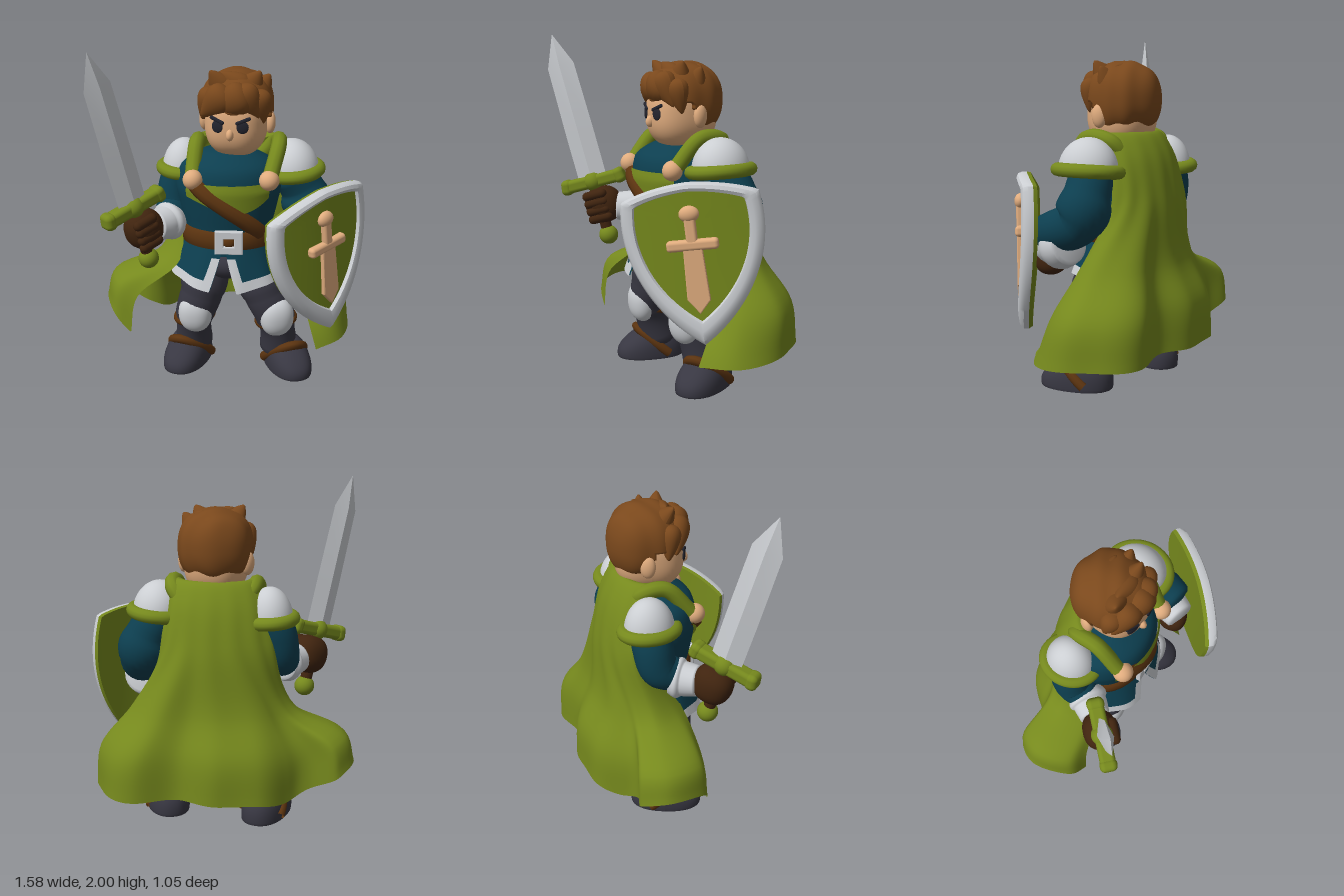
import * as THREE from 'three';
import { mergeVertices, toCreasedNormals } from 'three/addons/utils/BufferGeometryUtils.js';
import { RoundedBoxGeometry } from 'three/addons/geometries/RoundedBoxGeometry.js';

const V = (x, y, z) => new THREE.Vector3(x, y, z);
const colours = { green: 0x76891d, teal: 0x0d3f50, silver: 0xcbced2, hairBrown: 0x7a481c, leather: 0x5c3410,
  darkLeather: 0x40240f, slate: 0x383742, skin: 0xe0ac7e, ink: 0x23242e };
const M = {};
for (const k in colours) {
  M[k] = new THREE.MeshStandardMaterial({ color: colours[k], side: THREE.DoubleSide });
  M[k].name = k;
}

function add(parent, name, geo, mat, pos = [0, 0, 0], rot = [0, 0, 0], scale = [1, 1, 1]) {
  const m = new THREE.Mesh(geo, mat);
  m.name = name;
  m.position.set(...pos); m.rotation.set(...rot); m.scale.set(...scale);
  parent.add(m);
}
function group(parent, name, pos = [0, 0, 0], rot = [0, 0, 0]) {
  const g = new THREE.Group();
  g.name = name; g.position.set(...pos); g.rotation.set(...rot);
  parent.add(g);
  return g;
}
const ball = (r = 1, w = 28, h = 20) => new THREE.SphereGeometry(r, w, h);
const tube = (pts, r, n = 40) => new THREE.TubeGeometry(new THREE.CatmullRomCurve3(pts.map(p => V(...p))), n, r, 10);
const flat = pts => pts.map(p => new THREE.Vector2(...p));

// Smooth surface from a rule f(u, v) -> Vector3
function grid(nu, nv, f) {
  const pos = [], idx = [];
  for (let j = 0; j <= nv; j++) for (let i = 0; i <= nu; i++) pos.push(...f(i / nu, j / nv).toArray());
  for (let j = 0; j < nv; j++) for (let i = 0; i < nu; i++) {
    const a = j * (nu + 1) + i, c = a + nu + 1;
    idx.push(a, a + 1, c, a + 1, c + 1, c);
  }
  const g = new THREE.BufferGeometry();
  g.setAttribute('position', new THREE.Float32BufferAttribute(pos, 3));
  g.setIndex(idx);
  const merged = mergeVertices(g, 1e-4);
  merged.computeVertexNormals();
  return merged;
}
// Round-ended limb through [x, y, z, radius] points
function limb(pts) {
  const path = new THREE.CatmullRomCurve3(pts.map(p => V(p[0], p[1], p[2])));
  const radii = new THREE.CatmullRomCurve3(pts.map(p => V(p[3], 0, 0)));
  return grid(24, 30, (u, v) => {
    const e = Math.max(0, (Math.abs(2 * v - 1) - 0.86) / 0.14);
    const r = radii.getPoint(v).x * Math.sqrt(Math.max(0, 1 - e * e));
    const t = path.getTangent(v), s = V(1, 0, 0).addScaledVector(t, -t.x).normalize();
    const b = t.clone().cross(s), a = u * Math.PI * 2;
    return path.getPoint(v).addScaledVector(s, r * Math.cos(a)).addScaledVector(b, r * Math.sin(a));
  });
}
// Rounded block: a sphere pushed out by a power norm, then changed by a rule
function block(rx, ry, rz, p, rule = v => v, n = 64) {
  const g = ball(1, n, n * 0.75), a = g.attributes.position, v = V(0, 0, 0);
  for (let i = 0; i < a.count; i++) {
    v.fromBufferAttribute(a, i);
    v.divideScalar((Math.abs(v.x) ** p + Math.abs(v.y) ** p + Math.abs(v.z) ** p) ** (1 / p));
    v.multiply(V(rx, ry, rz));
    rule(v);
    a.setXYZ(i, v.x, v.y, v.z);
  }
  g.computeVertexNormals();
  return g;
}

function buildHead(root) {
  const head = group(root, 'head', [0.033, 1.555, -0.05], [0, -0.28, 0]);
  const P = 2.5, faceZ = (x, y) => 0.2 * (1 - Math.abs(x / 0.178) ** P - Math.abs(y / 0.205) ** P) ** (1 / P);
  add(head, 'face', block(0.178, 0.205, 0.2, P), M.skin);
  add(head, 'nose', ball(), M.skin, [0, -0.045, 0.195], [-0.3, 0, 0], [0.022, 0.034, 0.03]);
  for (const s of [-1, 1]) {
    add(head, 'ear', ball(), M.skin, [s * 0.19, -0.01, -0.025], [0, s * 0.4, 0], [0.032, 0.068, 0.045]);
    add(head, 'eye', ball(), M.ink, [s * 0.072, 0.0, faceZ(0.072, 0)], [0, s * 0.25, 0], [0.034, 0.036, 0.009]);
    add(head, 'eyebrow', new RoundedBoxGeometry(0.09, 0.02, 0.02, 2, 0.008), M.ink,
      [s * 0.074, 0.036, faceZ(0.074, 0.036)], [0, s * 0.25, s * 0.36]);
  }
  // Hair cap, pulled inside the head below the hairline
  add(head, 'hair', block(0.205, 0.215, 0.212, 2.3, v => {
    if (v.z > 0.0 && v.y < (v.z > 0.05 ? -0.015 : -0.05)) { v.x *= 0.76; v.z *= 0.7; }
    else v.multiplyScalar(1 + 0.025 * Math.sin(v.x * 34 + v.z * 20) * Math.sin(v.z * 26));
  }, 96), M.hairBrown, [0, 0.078, -0.02]);
  // Pointed locks: fringe swept sideways, crown tufts pointing up
  const lock = block(1, 1, 1, 2, v => { const k = 0.72 - 0.4 * v.y; v.x *= k; v.z *= k * 0.8; }, 24);
  const locks = [ // x, y, z, lean forward, tilt, size
    [-0.14, 0.105, 0.1, 0.1, 2.7, 0.1], [-0.09, 0.12, 0.145, 0.15, 2.3, 0.115], [0.0, 0.13, 0.15, 0.15, 2.1, 0.12],
    [0.09, 0.13, 0.135, 0.15, 3.7, 0.11], [0.145, 0.1, 0.09, 0.1, 3.4, 0.1], [-0.08, 0.22, 0.08, 0.5, 0.5, 0.1],
    [0.0, 0.225, 0.07, 0.3, 0.9, 0.1], [0.09, 0.21, 0.05, 0.2, -0.6, 0.105], [0.13, 0.18, -0.03, 0, -0.6, 0.1],
    [0.02, 0.22, -0.06, -0.2, -1.1, 0.1]];
  for (const [x, y, z, lean, tilt, s] of locks)
    add(head, 'hairLock', lock, M.hairBrown, [x, y, z], [lean, 0, tilt], [s, s, s]);
}

function buildBody(root) {
  const body = group(root, 'body', [-0.015, 0, -0.05], [0, -0.2, 0]);
  const prof = [[0.25, 0.78], [0.255, 0.9], [0.29, 1.06], [0.31, 1.18], [0.28, 1.3], [0.17, 1.37], [0.1, 1.39]];
  const D = 0.8;
  add(body, 'tunic', new THREE.LatheGeometry(new THREE.SplineCurve(flat(prof)).getPoints(30), 48), M.teal, [0, 0, 0], [0, 0, 0], [1, 1, D]);
  const onBody = (phi, y, off) => {
    let i = 0;
    while (i < prof.length - 2 && prof[i + 1][1] < y) i++;
    const k = (y - prof[i][1]) / (prof[i + 1][1] - prof[i][1]);
    const r = THREE.MathUtils.lerp(prof[i][0], prof[i + 1][0], k) + off;
    return V(r * Math.sin(phi), y, r * D * Math.cos(phi));
  };
  add(body, 'chestBand', grid(24, 8, (u, v) => {
    const dip = Math.sin(u ** 1.4 * Math.PI);
    return onBody(-0.75 + 1.65 * u, 1.14 - 0.08 * dip + v * (0.09 + 0.08 * dip), 0.018);
  }), M.green);
  const strap = [];
  for (let i = 0; i <= 8; i++) strap.push(onBody(-0.7 + i * 0.2, 1.24 - i * 0.04, -0.01).toArray());
  add(body, 'chestStrap', tube(strap, 0.05), M.leather);
  add(body, 'collar', ball(), M.teal, [0.02, 1.28, -0.01], [0, 0, 0], [0.2, 0.125, 0.18]);
  // Belt and buckle
  const belt = flat([[0.25, 0.82], [0.275, 0.83], [0.282, 0.88], [0.278, 0.93], [0.25, 0.94]]);
  add(body, 'belt', new THREE.LatheGeometry(belt, 48), M.leather, [0, 0, 0], [0, 0, 0], [1, 1, D]);
  const frame = new THREE.Shape(flat([[-0.075, -0.065], [0.075, -0.065], [0.075, 0.065], [-0.075, 0.065]]));
  frame.holes.push(new THREE.Path(flat([[-0.036, -0.03], [-0.036, 0.03], [0.036, 0.03], [0.036, -0.03]])));
  const buckle = group(body, 'buckle', [0.03, 0.882, 0.215], [0, 0.08, 0]);
  add(buckle, 'buckleFrame', new THREE.ExtrudeGeometry(frame, { depth: 0.02, bevelSize: 0.006, bevelThickness: 0.006, bevelSegments: 2 }), M.silver);
  add(buckle, 'buckleStud', ball(), M.leather, [0, 0, 0.01], [0, 0, 0], [0.034, 0.03, 0.015]);
  // Split skirt with a pale hem
  const skirt = (u, v, off) => {
    const gap = 0.02 + 0.22 * v, phi = gap + u * (Math.PI * 2 - 2 * gap);
    const r = 0.255 + 0.08 * v + off + 0.006 * Math.sin(phi * 9) * v;
    return V(r * Math.sin(phi), 0.85 - v * (0.22 + 0.05 * Math.max(0, Math.cos(phi)) ** 4), r * 0.84 * Math.cos(phi));
  };
  add(body, 'skirt', grid(64, 10, (u, v) => skirt(u, v, 0)), M.teal);
  add(body, 'skirtHem', grid(64, 3, (u, v) => skirt(u, 0.78 + 0.23 * v, 0.01)), M.silver);
  for (const a of [0, 0.972])
    add(body, 'skirtEdge', grid(4, 10, (u, v) => skirt(a + 0.028 * u, 0.25 + 0.75 * v, 0.012)), M.silver);
  add(body, 'hips', ball(), M.slate, [0, 0.7, 0], [0, 0, 0], [0.24, 0.12, 0.19]);
}

function buildLeg(root, name, pts, foot, yaw) {
  const leg = group(root, name);
  add(leg, 'trouserLeg', limb(pts), M.slate);
  const [x, y, z] = pts[2];
  add(leg, 'kneePad', block(0.102, 0.125, 0.08, 2.2), M.silver, [x, y + 0.035, z + 0.07], [0.1, yaw * 0.5, 0]);
  add(leg, 'ankleStrap', new THREE.TorusGeometry(0.107, 0.026, 10, 32), M.leather, [x + (pts[3][0] - x) * 0.15, 0.32, z - 0.02], [Math.PI / 2, 0.15, 0]);
  const boot = group(leg, 'boot', foot, [0, yaw, 0]);
  add(boot, 'shoe', block(0.13, 0.17, 0.215, 2.3, v => {
    const t = THREE.MathUtils.clamp(v.z / 0.215, 0, 1);
    v.y = Math.max(0, v.y + 0.035) * (1 - 0.4 * t);
  }, 40), M.slate);
  add(boot, 'instepStrap', new THREE.TorusGeometry(0.115, 0.022, 10, 32, Math.PI), M.leather, [0, 0.035, -0.085], [0.88, 0, 0], [1.1, 1.9, 1.3]);
}

function buildPauldron(root, name, pos, r, roll, stretch) {
  const g = group(root, name, pos, [0, 0, roll]);
  add(g, 'shoulderPlate', new THREE.SphereGeometry(1, 32, 14, 0, Math.PI * 2, 0, Math.PI / 2), M.silver, [0, 0, 0], [0, 0, 0], [r, 0.185, r * stretch]);
  add(g, 'shoulderTrim', new THREE.TorusGeometry(r, 0.038, 12, 40), M.green, [0, 0, 0], [Math.PI / 2, 0, 0], [1, stretch, 1]);
}

function buildSword(root) {
  const g = group(root, 'sword', [-0.57, 1.1, 0.14]);
  const Y = V(-0.2, 0.9, 0.15).normalize(), X = V(0.34, 0.06, -0.25);
  X.addScaledVector(Y, -X.dot(Y)).normalize();
  g.quaternion.setFromRotationMatrix(new THREE.Matrix4().makeBasis(X, Y, X.clone().cross(Y)));
  const blade = flat([[0.092, 0], [0.092, 0.3], [0.086, 0.74], [0.001, 0.935]]);
  add(g, 'blade', toCreasedNormals(new THREE.LatheGeometry(blade, 4).scale(1, 1, 0.33), 0.4), M.silver);
  add(g, 'crossguard', new RoundedBoxGeometry(0.38, 0.08, 0.09, 4, 0.025), M.green);
  for (const s of [-1, 1]) add(g, 'guardEnd', new RoundedBoxGeometry(0.07, 0.095, 0.1, 4, 0.03), M.green, [s * 0.175, 0, 0], [0, 0, s * 0.15]);
  add(g, 'guardCentre', ball(0.062), M.green);
  add(g, 'grip', new THREE.CylinderGeometry(0.035, 0.035, 0.34, 16), M.darkLeather, [0, -0.17, 0]);
  add(g, 'pommel', ball(), M.green, [0, -0.35, 0], [0, 0, 0], [0.06, 0.06, 0.06]);
  // Gauntlet closed round the grip
  add(g, 'gauntlet', block(0.115, 0.115, 0.1, 2.3, v => v, 32), M.darkLeather, [0.025, -0.155, 0]);
  for (let i = 0; i < 4; i++)
    add(g, 'finger', new THREE.CapsuleGeometry(0.029, 0.1, 6, 12), M.darkLeather, [0.005, -0.08 - i * 0.049, 0.074], [0, 0, Math.PI / 2]);
}

function buildShield(root) {
  const g = group(root, 'shield', [0.508, 0.807, 0.282], [0, 0.66, 0.13]);
  const o = new THREE.Shape();
  o.moveTo(0, 0.43);
  o.quadraticCurveTo(0.2, 0.42, 0.37, 0.35);
  o.bezierCurveTo(0.43, 0.05, 0.3, -0.25, 0, -0.455);
  o.bezierCurveTo(-0.3, -0.25, -0.43, 0.05, -0.37, 0.35);
  o.quadraticCurveTo(-0.2, 0.42, 0, 0.43);
  const outline = o.getSpacedPoints(96);
  const shell = rings => toCreasedNormals(grid(96, rings.length - 1, (u, v) => {
    const p = outline[Math.round(u * 96)], [s, z] = rings[Math.round(v * (rings.length - 1))];
    return V(p.x * s, p.y * s + 0.2 * (1 - s), z - 0.3 * (p.x * s) ** 2);
  }), 0.7);
  add(g, 'shieldRim', shell([[0.79, 0.015], [0.81, 0.042], [0.88, 0.05], [0.96, 0.042], [1, 0.02], [1, -0.008]]), M.silver);
  add(g, 'shieldFace', shell([[0, 0.022], [0.25, 0.022], [0.5, 0.022], [0.82, 0.022]]), M.green);
  add(g, 'shieldBack', shell([[1, -0.008], [0.98, -0.03], [0.75, -0.03], [0.5, -0.03], [0.25, -0.03], [0, -0.03]]), M.green);
  // Raised sword ornament
  const e = group(g, 'shieldOrnament', [0, 0, 0.03]);
  add(e, 'ornamentKnob', ball(), M.skin, [0, 0.265, 0], [0, 0, 0], [0.055, 0.045, 0.035]);
  add(e, 'ornamentGrip', new RoundedBoxGeometry(0.06, 0.16, 0.05, 3, 0.015), M.skin, [0, 0.18, 0]);
  add(e, 'ornamentGuard', new RoundedBoxGeometry(0.28, 0.06, 0.055, 3, 0.02), M.skin, [0, 0.1, 0]);
  const b = new THREE.Shape(flat([[-0.045, 0.1], [-0.056, -0.19], [0, -0.265], [0.056, -0.2], [0.045, 0.1]]));
  add(e, 'ornamentBlade', new THREE.ExtrudeGeometry(b, { depth: 0.015, bevelSize: 0.006, bevelThickness: 0.006, bevelSegments: 2 }), M.skin);
}

function buildCape(root) {
  const hem = [[0.48, 0.2, 0.24], [0.68, 0.2, 0.1], [0.74, 0.23, -0.15], [0.68, 0.24, -0.35], [0.5, 0.24, -0.48], [0.24, 0.25, -0.45],
    [0.02, 0.24, -0.53], [-0.2, 0.24, -0.51], [-0.38, 0.22, -0.41], [-0.5, 0.28, -0.34], [-0.67, 0.36, -0.4], [-0.75, 0.41, -0.26],
    [-0.74, 0.37, -0.04], [-0.61, 0.25, 0.03]].map(p => V(...p));
  const mid = [[0.4, -0.03], [0.5, -0.08], [0.52, -0.18], [0.47, -0.3], [0.35, -0.38], [0.18, -0.38], [0.02, -0.41],
    [-0.14, -0.4], [-0.26, -0.36], [-0.32, -0.31], [-0.38, -0.28], [-0.42, -0.2], [-0.38, -0.07], [-0.3, 0.0]].map(p => V(p[0], 0.72, p[1]));
  const spread = i => [0.3, 0.65][i] ?? 0.86;
  const low = hem.map((h, i) => V(0, 0, 0).lerpVectors(mid[i], h, spread(i)).setY((mid[i].y + h.y) / 2));
  const n = hem.length - 1;
  const arc = (cx, rx, y, cz, rz) => hem.map((_, i) => {
    const a = Math.PI * i / n;
    return V(cx + rx * Math.cos(a), y, cz - rz * Math.sin(a) - 0.03 * (i / n));
  });
  const rows = [arc(0.04, 0.15, 1.43, -0.08, 0.08), arc(0.04, 0.23, 1.455, -0.07, 0.15), arc(0.03, 0.28, 1.34, -0.13, 0.17),
    arc(0.02, 0.33, 1.08, -0.19, 0.17), mid, low, hem].map(p => new THREE.CatmullRomCurve3(p));
  add(root, 'cape', grid(130, 42, (u, v) => {
    const p = new THREE.CatmullRomCurve3(rows.map(r => r.getPoint(u))).getPoint(v);
    const fold = 0.012 * v * v * Math.sin(u * 44 + v * 2), a = Math.PI * u;
    return p.add(V(fold * Math.cos(a), 0, -fold * Math.sin(a)));
  }), M.green);
  // Rolled front edges and clasps
  add(root, 'capeEdgeLeft', tube([[0.2, 1.3, -0.2], [0.28, 1.41, -0.13], [0.27, 1.42, 0.03], [0.21, 1.27, 0.15]], 0.045), M.green);
  add(root, 'capeEdgeRight', tube([[-0.1, 1.29, -0.21], [-0.17, 1.4, -0.18], [-0.2, 1.42, -0.05], [-0.23, 1.27, 0.09]], 0.045), M.green);
  add(root, 'claspLeft', ball(0.058), M.skin, [0.2, 1.25, 0.17]);
  add(root, 'claspRight', ball(0.058), M.skin, [-0.23, 1.25, 0.12]);
}

export function createModel() {
  const root = new THREE.Group();
  root.name = 'knight';
  buildHead(root);
  buildBody(root);
  buildLeg(root, 'leftLeg', [[0.12, 0.7, -0.02, 0.13], [0.2, 0.5, 0.05, 0.13], [0.265, 0.34, 0.06, 0.12], [0.3, 0.08, 0, 0.12]], [0.345, 0, 0.055], 0.25);
  buildLeg(root, 'rightLeg', [[-0.13, 0.7, -0.06, 0.13], [-0.18, 0.5, -0.01, 0.13], [-0.225, 0.34, -0.03, 0.12], [-0.23, 0.08, -0.12, 0.12]], [-0.27, 0, -0.07], -0.45);
  // Arms
  const left = group(root, 'leftArm'), right = group(root, 'rightArm');
  add(left, 'sleeve', limb([[0.33, 1.27, -0.06, 0.12], [0.43, 1.12, -0.08, 0.13], [0.47, 0.98, -0.05, 0.13], [0.47, 0.92, 0.09, 0.12], [0.43, 0.89, 0.22, 0.1]]), M.teal);
  add(left, 'cuff', limb([[0.48, 0.86, -0.01, 0.115], [0.44, 0.83, 0.12, 0.115], [0.37, 0.82, 0.26, 0.09]]), M.silver);
  add(left, 'glove', block(0.085, 0.085, 0.085, 2.4, v => v, 32), M.darkLeather, [0.39, 0.73, 0.2]);
  add(right, 'sleeve', limb([[-0.25, 1.27, -0.16, 0.12], [-0.31, 1.14, -0.17, 0.115], [-0.335, 1.01, -0.14, 0.11], [-0.36, 0.96, -0.04, 0.09]]), M.teal);
  add(right, 'cuff', limb([[-0.34, 0.95, -0.08, 0.1], [-0.39, 0.945, -0.02, 0.1], [-0.46, 0.95, 0.05, 0.085]]), M.silver);
  buildPauldron(root, 'leftPauldron', [0.365, 1.25, -0.045], 0.155, 0.1, 1.12);
  buildPauldron(root, 'rightPauldron', [-0.275, 1.235, -0.175], 0.127, -0.08, 1.12);
  buildSword(root);
  buildShield(root);
  buildCape(root);
  return root;
}
